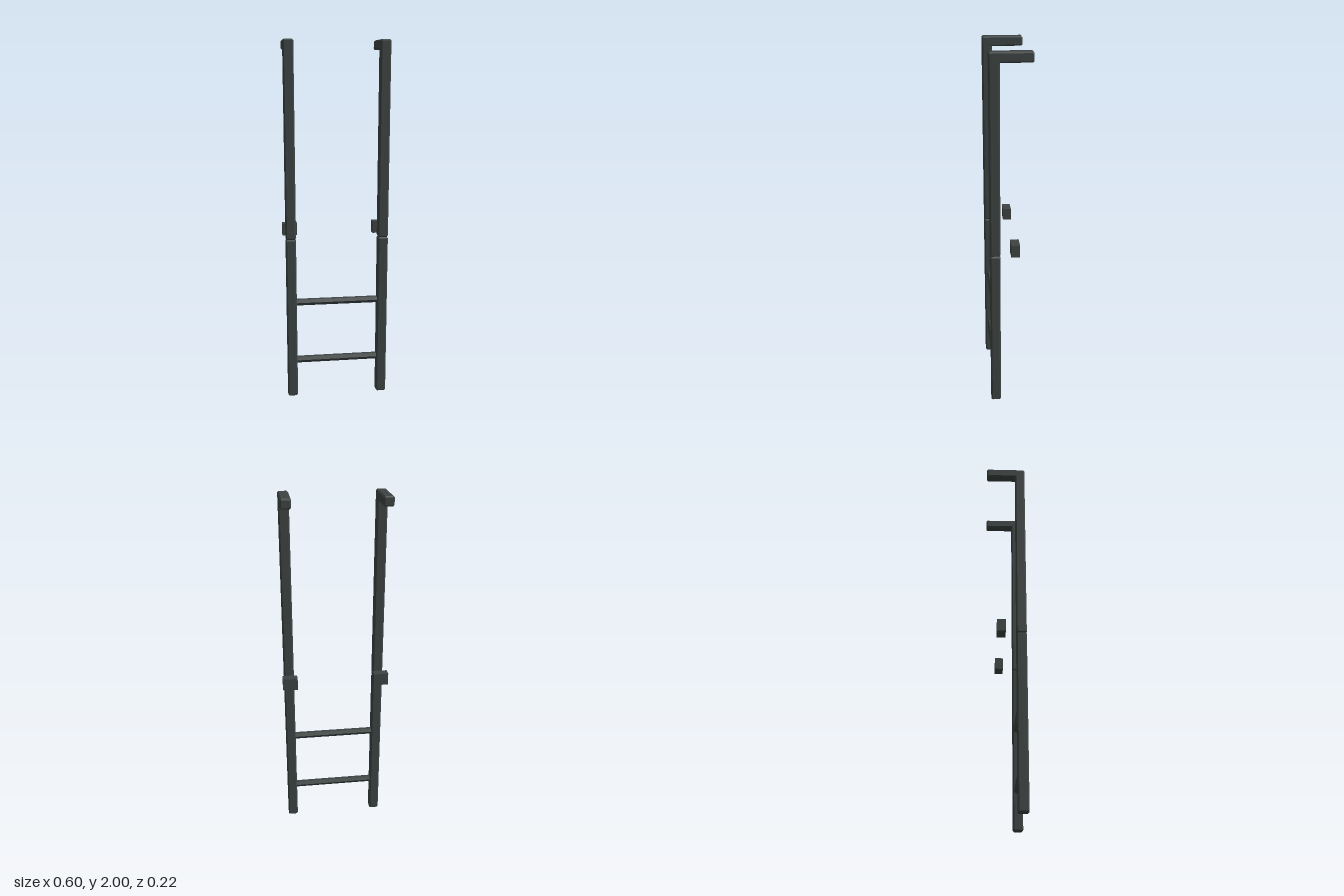
import * as THREE from 'three';

const CHAMFER = 0.007;
const RAIL_X = 0.257, RAIL_WIDTH = 0.056;

// Bar with chamfered edges: a side outline in [z, y], counter-clockwise, extruded along x.
function chamferedBar(outline, width) {
  const points = [];
  const n = outline.length;
  outline.forEach((corner, i) => {
    const p = new THREE.Vector2(...corner);
    const a = new THREE.Vector2(...outline[(i + n - 1) % n]).sub(p).normalize();
    const b = new THREE.Vector2(...outline[(i + 1) % n]).sub(p).normalize();
    // Cut outer corners, keep the inner elbow sharp
    if (a.cross(b) < 0) {
      points.push(p.clone().addScaledVector(a, CHAMFER), p.clone().addScaledVector(b, CHAMFER));
    } else {
      points.push(p);
    }
  });
  const depth = width - 2 * CHAMFER;
  const geometry = new THREE.ExtrudeGeometry(new THREE.Shape(points), {
    depth, bevelEnabled: true, bevelSegments: 1,
    bevelThickness: CHAMFER, bevelSize: CHAMFER, bevelOffset: -CHAMFER,
  });
  geometry.translate(0, 0, -depth / 2);
  geometry.rotateY(-Math.PI / 2);
  return geometry;
}

export function createModel() {
  const model = new THREE.Group();
  model.name = 'ladder';
  const metal = new THREE.MeshStandardMaterial({ color: 0x3d4443 });
  metal.name = 'dark metal';

  const add = (name, geometry, x, y, z) => {
    const mesh = new THREE.Mesh(geometry, metal);
    mesh.name = name;
    mesh.position.set(x, y, z);
    model.add(mesh);
  };

  const back = 0.055, front = 0.11, joint = 0.932;
  const lower = chamferedBar([[back, 0], [front, 0], [front, joint], [back, joint]], RAIL_WIDTH);
  // Upper rail bends backwards at the top
  const upper = chamferedBar([
    [back, joint], [front, joint], [front, 2], [-0.11, 2], [-0.11, 1.948], [back, 1.948],
  ], RAIL_WIDTH);
  const bracket = new THREE.BoxGeometry(0.082, 0.068, 0.047);

  // Rails and wall brackets, mirrored
  for (const [side, s] of [['left', 1], ['right', -1]]) {
    add(`${side}LowerRail`, lower, s * RAIL_X, 0, 0);
    add(`${side}UpperRail`, upper, s * RAIL_X, 0, 0);
    add(`${side}Bracket`, bracket, s * 0.2565, 0.966, -0.0245);
  }

  // Hexagonal rungs, flat side up
  const rung = new THREE.CylinderGeometry(0.0195, 0.0195, 0.47, 6).toNonIndexed();
  rung.computeVertexNormals();
  rung.rotateZ(Math.PI / 2);
  add('lowerRung', rung, 0, 0.215, 0.08);
  add('upperRung', rung, 0, 0.562, 0.08);

  return model;
}
